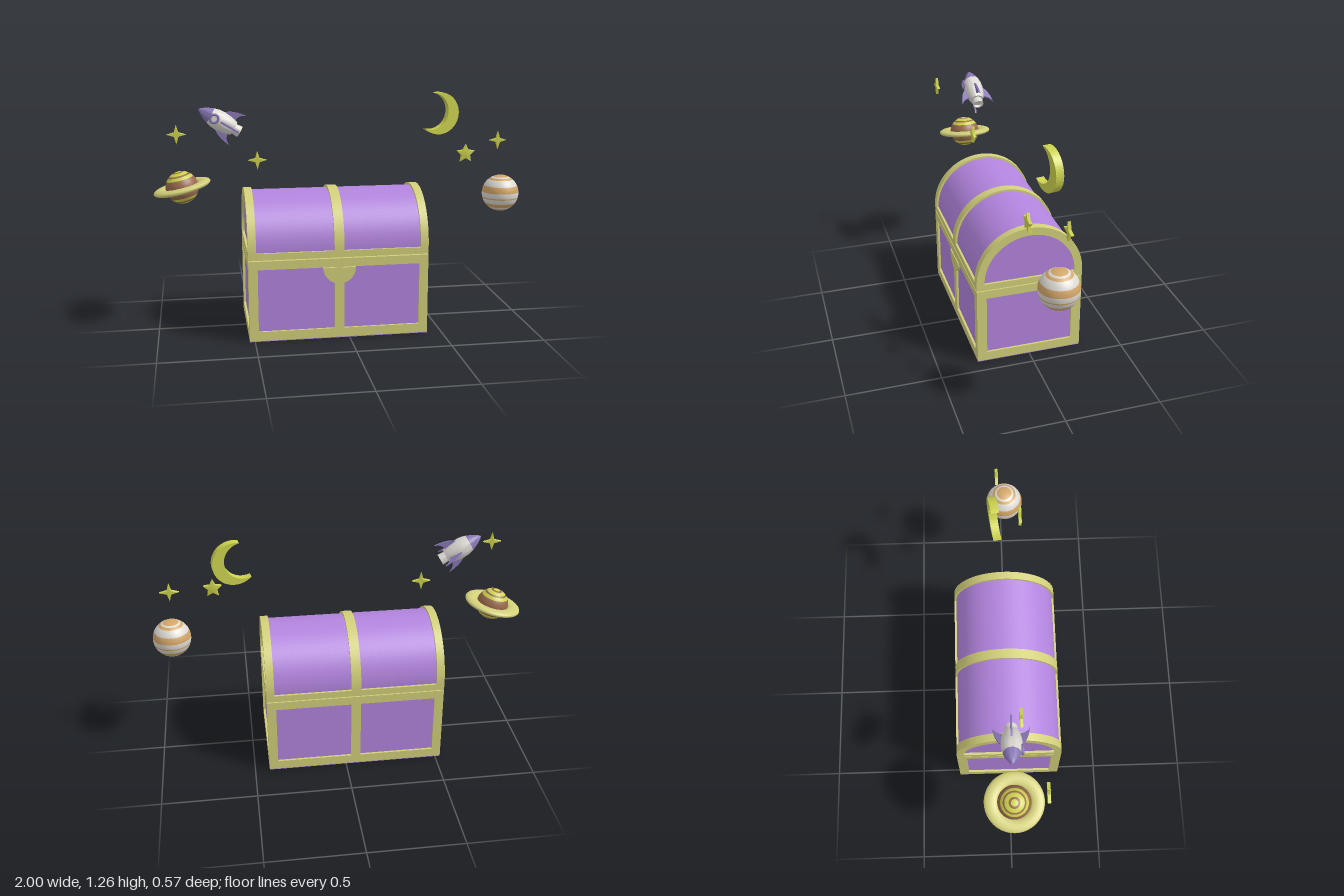
import * as THREE from 'three';
import { toCreasedNormals } from 'three/addons/utils/BufferGeometryUtils.js';

const mat = (name, color, side = THREE.FrontSide) => {
  const m = new THREE.MeshStandardMaterial({ color, side });
  m.name = name;
  return m;
};

export function createModel() {
  const model = new THREE.Group();
  model.name = 'treasureChestWithSkyOrnaments';
  const purple = mat('chest purple', 0xb284de);
  const trim = mat('pale gold trim', 0xd2cf7a);
  const lime = mat('star yellow', 0xccd24e);
  const white = mat('warm white', 0xdcd8d2);
  const violet = mat('rocket violet', 0x8876b4);
  const tan = mat('planet tan', 0xd2a668);
  const brown = mat('planet brown', 0x9a6b4e);

  const add = (parent, name, geo, material, x = 0, y = 0, z = 0) => {
    const mesh = new THREE.Mesh(geo, material);
    mesh.name = name;
    mesh.position.set(x, y, z);
    parent.add(mesh);
    return mesh;
  };
  const group = (name, x, y, z) => {
    const g = new THREE.Group();
    g.name = name;
    g.position.set(x, y, z);
    model.add(g);
    return g;
  };
  // extrusion centred on z = 0, smooth along curves
  const extrude = (shape, depth, bevel = 0) => {
    const g = new THREE.ExtrudeGeometry(shape, {
      depth: depth - 2 * bevel, curveSegments: 40, bevelEnabled: bevel > 0,
      bevelThickness: bevel, bevelSize: bevel, bevelOffset: -bevel, bevelSegments: 2,
    });
    g.translate(0, 0, -(depth - 2 * bevel) / 2);
    return toCreasedNormals(g, 0.5);
  };
  const rect = (x0, y0, x1, y1, Type = THREE.Shape) => new Type([
    new THREE.Vector2(x0, y0), new THREE.Vector2(x1, y0),
    new THREE.Vector2(x1, y1), new THREE.Vector2(x0, y1)]);

  // ---- Chest ----
  const W = 0.95, D = 0.57, R = D / 2, SPRING = 0.48;
  const chest = group('chest', -0.053, 0, 0);
  add(chest, 'baseBody', new THREE.BoxGeometry(W - 0.024, 0.425, D - 0.024), purple, 0, 0.2165, 0);
  add(chest, 'bottomPlate', new THREE.BoxGeometry(W, 0.004, D), purple, 0, 0.002, 0);

  // base frames: two openings front and back, one on each side
  const longFrame = rect(-W / 2, 0.004, W / 2, 0.434);
  longFrame.holes.push(rect(-0.427, 0.053, -0.026, 0.388, THREE.Path), rect(0.026, 0.053, 0.427, 0.388, THREE.Path));
  const endFrame = rect(-R, 0.004, R, 0.434);
  endFrame.holes.push(rect(-0.233, 0.053, 0.233, 0.388, THREE.Path));
  for (const s of [1, -1]) {
    add(chest, s > 0 ? 'frontFrame' : 'backFrame', extrude(longFrame, 0.024), trim, 0, 0, s * (R - 0.012));
    add(chest, s > 0 ? 'leftFrame' : 'rightFrame', extrude(endFrame, 0.024).rotateY(Math.PI / 2), trim, s * (W / 2 - 0.012), 0, 0);
  }

  // barrel lid, its ribs and lower rails
  const arch = (r, y0, Type = THREE.Shape) => {
    const a = new Type();
    a.moveTo(-r, y0);
    a.lineTo(r, y0);
    a.lineTo(r, SPRING);
    a.absarc(0, SPRING, r, 0, Math.PI, false);
    a.lineTo(-r, y0);
    return a;
  };
  add(chest, 'lidBarrel', extrude(arch(R - 0.012, 0.436), W - 0.026).rotateY(Math.PI / 2), purple);
  const endRib = arch(R, 0.439);
  endRib.holes.push(arch(0.243, 0.474, THREE.Path));
  for (const s of [1, -1]) {
    add(chest, s > 0 ? 'leftLidRib' : 'rightLidRib', extrude(endRib, 0.042).rotateY(Math.PI / 2), trim, s * (W / 2 - 0.021), 0, 0);
    add(chest, s > 0 ? 'frontLidRail' : 'backLidRail', new THREE.BoxGeometry(W, 0.036, 0.03), trim, 0, 0.457, s * (R - 0.015));
  }
  add(chest, 'centreLidRib', extrude(arch(R, 0.439), 0.052).rotateY(Math.PI / 2), trim);

  // half-round clasp
  const clasp = new THREE.Shape();
  clasp.absarc(0, 0.385, 0.086, Math.PI, Math.PI * 2, false);
  clasp.closePath();
  add(chest, 'clasp', extrude(clasp, 0.02), trim, 0, 0, R - 0.006);

  // ---- Planets: spheres split into bands by polar angle in degrees ----
  const bandedSphere = (parent, r, stops, colours) => {
    for (let i = 0; i < stops.length - 1; i++) {
      const a = THREE.MathUtils.degToRad(stops[i]), b = THREE.MathUtils.degToRad(stops[i + 1]);
      const rows = Math.max(1, Math.round((stops[i + 1] - stops[i]) / 6));
      add(parent, 'planetBand' + (i + 1), new THREE.SphereGeometry(r, 40, rows, 0, Math.PI * 2, a, b - a), colours[i % 2]);
    }
  };
  const striped = group('stripedPlanet', 0.896, 0.698, 0.017);
  bandedSphere(striped, 0.101, [0, 24, 31, 40, 64, 85, 101, 105, 121, 137, 146, 180], [tan, white]);

  const ringed = group('ringedPlanet', -0.85, 0.783, 0.015);
  ringed.rotation.z = 0.23;
  bandedSphere(ringed, 0.086, [0, 12, 20, 36, 43, 56, 88, 104, 124, 138, 147, 180], [lime, brown]);
  add(ringed, 'planetRing', new THREE.TorusGeometry(0.118, 0.035, 14, 56).rotateX(Math.PI / 2).scale(1, 0.45, 1), trim);

  // ---- Rocket: local +y points to the nose, nose tip at the origin ----
  const rocket = group('rocket', -0.752, 1.193, 0.007);
  rocket.rotation.z = 1.04;
  const lathe = (pts) => toCreasedNormals(
    new THREE.LatheGeometry(pts.map(([r, y]) => new THREE.Vector2(r, y)), 32), 0.6);
  add(rocket, 'rocketBody', lathe([[0, -0.21], [0.037, -0.21], [0.044, -0.19], [0.05, -0.16], [0.053, -0.13], [0.051, -0.1], [0.043, -0.07]]), white);
  add(rocket, 'rocketNose', lathe([[0.043, -0.07], [0.034, -0.048], [0.022, -0.026], [0.01, -0.009], [0, 0]]), violet);
  add(rocket, 'rocketNozzle', lathe([[0, -0.232], [0.022, -0.232], [0.024, -0.245], [0.031, -0.245], [0.027, -0.205]]), white);
  const fin = new THREE.Shape();
  fin.moveTo(0.04, -0.118);
  fin.quadraticCurveTo(0.08, -0.145, 0.09, -0.235);
  fin.quadraticCurveTo(0.075, -0.195, 0.034, -0.195);
  fin.closePath();
  for (let i = 0; i < 4; i++) {
    add(rocket, 'rocketFin' + (i + 1), extrude(fin, 0.009), violet).rotation.y = i * Math.PI / 2;
  }
  add(rocket, 'windowRim', new THREE.TorusGeometry(0.021, 0.007, 10, 28), violet, 0, -0.092, 0.051);
  add(rocket, 'windowGlass', new THREE.CylinderGeometry(0.018, 0.018, 0.009, 24).rotateX(Math.PI / 2), white, 0, -0.092, 0.049);

  // ---- Crescent moon: outer circle minus an offset inner circle ----
  const ro = 0.115, ri = 0.1, off = 0.048;
  const cx = (off * off + ro * ro - ri * ri) / (2 * off);
  const ao = Math.acos(cx / ro), ai = Math.acos((cx - off) / ri);
  const crescent = new THREE.Shape();
  crescent.absarc(0, 0, ro, ao, Math.PI * 2 - ao, false);
  crescent.absarc(off, 0, ri, Math.PI * 2 - ai, ai, true);
  const moon = group('moon', 0.545, 1.142, -0.042);
  moon.rotation.y = 0.16;
  add(moon, 'crescent', extrude(crescent, 0.042), lime).rotation.z = Math.PI - 0.28;

  // ---- Stars ----
  const star = (name, n, r, inner, x, y, z) => {
    const pts = [];
    for (let i = 0; i < n * 2; i++) {
      const a = Math.PI / 2 + i * Math.PI / n, k = i % 2 ? inner : r;
      pts.push(new THREE.Vector2(Math.cos(a) * k, Math.sin(a) * k));
    }
    add(model, name, extrude(new THREE.Shape(pts), 0.017, 0.003), lime, x, y, z);
  };
  star('fivePointStar', 5, 0.052, 0.026, 0.665, 0.937, 0.096);
  star('sparkleUpperRight', 4, 0.05, 0.016, -0.868, 1.084, 0.174);
  star('sparkleInnerRight', 4, 0.05, 0.016, -0.455, 0.925, 0.063);
  star('sparkleLeft', 4, 0.05, 0.016, 0.885, 0.988, -0.025);

  return model;
}
